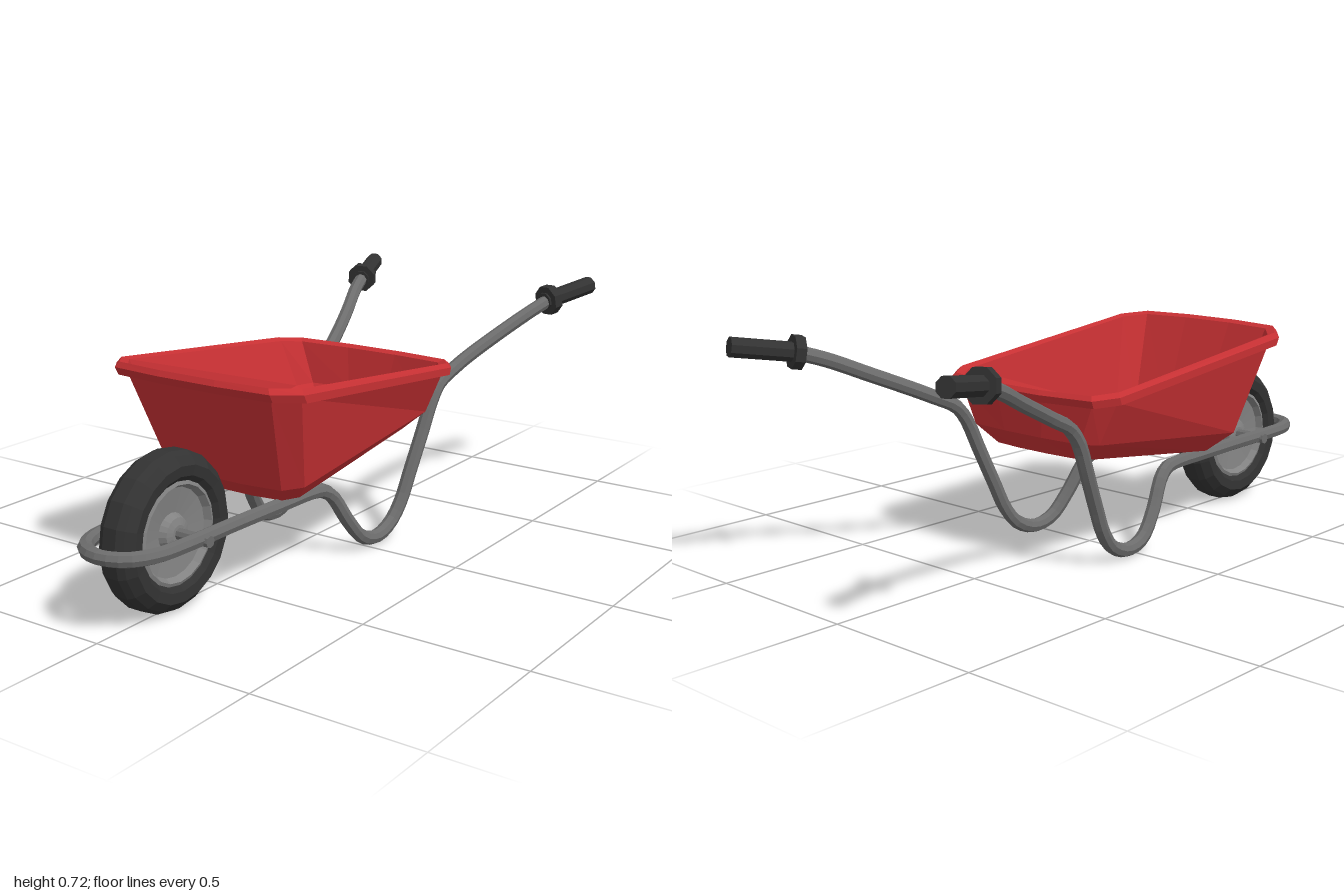
import * as THREE from 'three';

const steel = new THREE.MeshStandardMaterial({ color: 0x6c6c6c });
steel.name = 'steel';
const rimGrey = new THREE.MeshStandardMaterial({ color: 0x828282 });
rimGrey.name = 'rimGrey';
const rubber = new THREE.MeshStandardMaterial({ color: 0x323232 });
rubber.name = 'rubber';
const red = new THREE.MeshStandardMaterial({ color: 0xc63033 });
red.name = 'red';

// Faceted mesh: unshared vertices give flat normals
function part(name, geometry, material) {
  const g = geometry.index ? geometry.toNonIndexed() : geometry;
  g.computeVertexNormals();
  const mesh = new THREE.Mesh(g, material);
  mesh.name = name;
  return mesh;
}

// Cylinder between two points
function rod(name, a, b, radius, sides, material) {
  const dir = b.clone().sub(a);
  const mesh = part(name, new THREE.CylinderGeometry(radius, radius, dir.length(), sides), material);
  mesh.position.copy(a).addScaledVector(dir, 0.5);
  mesh.quaternion.setFromUnitVectors(new THREE.Vector3(0, 1, 0), dir.normalize());
  return mesh;
}

// One tub outline: half width, front/back z, front/back y, corner cut
function tubLoop([w, zf, zb, yf, yb, c]) {
  const front = [[w, zf - c], [w * 0.82, zf - c * 0.2], [w * 0.3, zf]];
  const back = [[w, zb + c], [w * 0.86, zb + c * 0.25], [w * 0.3, zb]];
  const flip = (list) => list.map(([x, z]) => [-x, z]).reverse();
  const outline = [...front, ...flip(front), ...flip(back).reverse(), ...back.slice().reverse()];
  return outline.map(([x, z]) => new THREE.Vector3(x, yb + (yf - yb) * (z - zb) / (zf - zb), z));
}

function tubGeometry() {
  const loops = [
    [0.185, 0.40, -0.25, 0.257, 0.342, 0.05],   // underside
    [0.247, 0.473, -0.295, 0.315, 0.40, 0.06],  // lower bevel
    [0.307, 0.588, -0.307, 0.615, 0.515, 0.08], // below the lip
    [0.330, 0.607, -0.325, 0.608, 0.513, 0.09], // lip
    [0.330, 0.620, -0.333, 0.632, 0.535, 0.09],
    [0.318, 0.612, -0.323, 0.648, 0.548, 0.09],
    [0.300, 0.590, -0.303, 0.640, 0.540, 0.08], // inside wall
    [0.236, 0.462, -0.282, 0.330, 0.415, 0.06],
    [0.180, 0.390, -0.240, 0.272, 0.357, 0.05], // floor
  ].map(tubLoop);
  const n = loops[0].length;
  const pts = [];
  const tri = (...v) => v.forEach((p) => pts.push(p.x, p.y, p.z));
  const middle = (loop) => loop.reduce((s, p) => s.add(p), new THREE.Vector3()).divideScalar(n);
  const first = loops[0], last = loops[loops.length - 1];
  for (let j = 0; j < n; j++) {
    const k = (j + 1) % n;
    for (let i = 0; i + 1 < loops.length; i++) {
      const lo = loops[i], hi = loops[i + 1];
      tri(lo[j], hi[j], hi[k]);
      tri(lo[j], hi[k], lo[k]);
    }
    tri(middle(first), first[j], first[k]);
    tri(middle(last), last[k], last[j]);
  }
  const g = new THREE.BufferGeometry();
  g.setAttribute('position', new THREE.Float32BufferAttribute(pts, 3));
  return g;
}

// Bent tube running from one handle round the wheel to the other
function frameGeometry() {
  const side = [
    [0.372, 0.668, -0.82], [0.345, 0.637, -0.73], [0.30, 0.583, -0.61], [0.258, 0.525, -0.48],
    [0.243, 0.497, -0.42], [0.231, 0.46, -0.345], [0.228, 0.41, -0.303], [0.221, 0.32, -0.263],
    [0.21, 0.20, -0.21], [0.203, 0.11, -0.168], [0.197, 0.055, -0.12], [0.194, 0.029, -0.045],
    [0.189, 0.048, 0.03], [0.177, 0.12, 0.095], [0.161, 0.205, 0.15], [0.153, 0.233, 0.19],
    [0.148, 0.24, 0.25], [0.141, 0.24, 0.37], [0.13, 0.24, 0.60], [0.125, 0.24, 0.78],
    [0.114, 0.24, 0.88], [0.075, 0.24, 0.95],
  ].map((p) => new THREE.Vector3(...p));
  const other = side.map((p) => new THREE.Vector3(-p.x, p.y, p.z)).reverse();
  const path = new THREE.CatmullRomCurve3([...side, new THREE.Vector3(0, 0.24, 0.978), ...other]);
  return new THREE.TubeGeometry(path, 150, 0.022, 8);
}

// Turned part about the wheel axle; profile is [radius, x]
function turned(name, profile, material) {
  const pts = profile.map(([r, x]) => new THREE.Vector2(r, x));
  const mesh = part(name, new THREE.LatheGeometry(pts, 20), material);
  mesh.rotation.z = -Math.PI / 2;
  return mesh;
}

function wheel() {
  const group = new THREE.Group();
  group.name = 'wheel';
  const half = [[0.228, 0.022], [0.217, 0.042], [0.193, 0.063], [0.163, 0.06], [0.148, 0.046], [0.138, 0.02]];
  const mirror = half.map(([r, x]) => [r, -x]).reverse();
  group.add(turned('tire', [...mirror, ...half, mirror[0]], rubber));
  // Dished rim with a raised edge and a hub
  const dish = [[0.148, 0.046], [0.138, 0.05], [0.127, 0.03], [0.055, 0.022], [0.045, 0.042], [0.025, 0.048], [0, 0.048]];
  group.add(turned('rim', [...dish.map(([r, x]) => [r, -x]).reverse(), ...dish], rimGrey));
  group.add(rod('axle', new THREE.Vector3(-0.157, 0, 0), new THREE.Vector3(0.157, 0, 0), 0.017, 8, steel));
  group.position.set(0, 0.235, 0.717);
  return group;
}

function grip(s) {
  const group = new THREE.Group();
  group.name = s > 0 ? 'leftGrip' : 'rightGrip';
  const a = new THREE.Vector3(s * 0.364, 0.664, -0.795);
  const b = new THREE.Vector3(s * 0.433, 0.697, -0.993);
  group.add(rod('handle', a, b, 0.029, 8, rubber));
  group.add(rod('flange', a.clone().lerp(b, 0.03), a.clone().lerp(b, 0.17), 0.05, 8, rubber));
  return group;
}

export function createModel() {
  const model = new THREE.Group();
  model.name = 'wheelbarrow';
  model.add(part('tub', tubGeometry(), red));
  model.add(part('frame', frameGeometry(), steel));
  model.add(wheel(), grip(1), grip(-1));
  return model;
}
